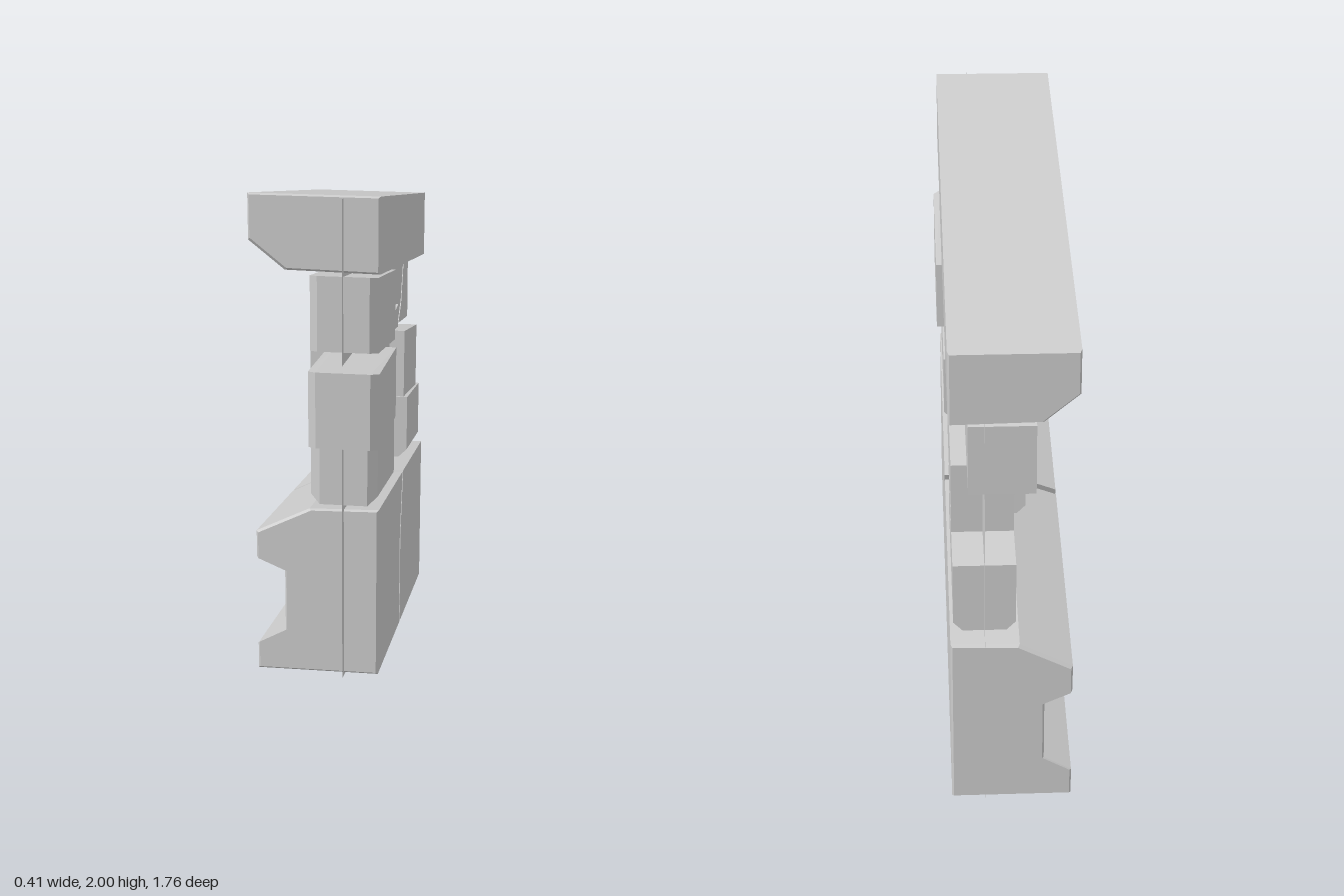
import * as THREE from 'three';

const SLOPE = 0.25; // the whole wall is sheared: it climbs towards the front
const material = new THREE.MeshStandardMaterial({ color: 0xcccccc, flatShading: true });

// Skin a stack of rings (arrays of [x, u, z]); outline is the 2D shape used for the end caps.
function loft(name, rings, outline) {
  const n = outline.length;
  const pos = rings.flat().flatMap(([x, u, z]) => [x, u + SLOPE * z, z]);
  const tris = [];
  for (let r = 0; r < rings.length - 1; r++) {
    for (let i = 0; i < n; i++) {
      const j = (i + 1) % n, a = r * n, b = a + n;
      tris.push([a + i, a + j, b + j], [a + i, b + j, b + i]);
    }
  }
  const ccw = outline.map(([a, b]) => new THREE.Vector2(a, b));
  const last = (rings.length - 1) * n;
  const forward = !THREE.ShapeUtils.isClockWise(ccw);
  for (const [a, b, c] of THREE.ShapeUtils.triangulateShape(ccw, [])) {
    // caps must run with the outline so that they match the skin
    const area = (ccw[b].x - ccw[a].x) * (ccw[c].y - ccw[a].y) - (ccw[b].y - ccw[a].y) * (ccw[c].x - ccw[a].x);
    const t = (area > 0) === forward ? [a, b, c] : [a, c, b];
    tris.push([t[0], t[2], t[1]], t.map((k) => k + last));
  }
  // turn everything outwards when the enclosed volume comes out negative
  const p = (k) => new THREE.Vector3().fromArray(pos, k * 3);
  const volume = tris.reduce((s, [a, b, c]) => s + p(a).dot(p(b).cross(p(c))), 0);
  const index = tris.flatMap(([a, b, c]) => (volume < 0 ? [a, c, b] : [a, b, c]));

  const indexed = new THREE.BufferGeometry();
  indexed.setAttribute('position', new THREE.Float32BufferAttribute(pos, 3));
  indexed.setIndex(index);
  const geometry = indexed.toNonIndexed();
  geometry.computeVertexNormals();
  const mesh = new THREE.Mesh(geometry, material);
  mesh.name = name;
  return mesh;
}

// Brick or brick fragment: a [z, u] outline across the wall's thickness.
// front / bottom chamfer only the edges of the exposed end and of the lowest course.
function brick(name, outline, x0, x1, { front = 0, bottom = 0 } = {}) {
  const c = Math.max(front, bottom, 0.004);
  const zMax = Math.max(...outline.map((q) => q[0]));
  const uMin = Math.min(...outline.map((q) => q[1]));
  const inset = ([z, u]) => [z > zMax - 0.01 ? z - front : z, u < uMin + 0.01 ? u + bottom : u];
  const full = (x) => outline.map(([z, u]) => [x, u, z]);
  const small = (x) => outline.map(inset).map(([z, u]) => [x, u, z]);
  return loft(name, [small(x0), full(x0 + c), full(x1 - c), small(x1)], outline);
}

const rect = (z0, z1, u0, u1) => [[z0, u1], [z1, u1], [z1, u0], [z0, u0]];

// Shrink an [x, u] profile slightly towards its middle for a chamfered end
function shrink(profile, c) {
  const us = profile.map((q) => q[1]);
  const mid = (Math.min(...us) + Math.max(...us)) / 2;
  return profile.map(([x, u]) => [x - Math.sign(x) * c, u - Math.sign(u - mid) * c]);
}
const ring = (profile, z) => profile.map(([x, u]) => [x, u, z]);

// Crack through the base: z as a function of height
const CRACK = [[0.23, -0.04], [0.312, -0.016], [0.577, -0.016], [0.81, -0.095]];
function crackZ(u) {
  for (let i = 0; i < CRACK.length - 1; i++) {
    const [u0, z0] = CRACK[i], [u1, z1] = CRACK[i + 1];
    if (u <= u1) return THREE.MathUtils.mapLinear(u, u0, u1, z0, z1);
  }
  return CRACK[CRACK.length - 1][1];
}

export function createModel() {
  const wall = new THREE.Group();
  wall.name = 'ruinedWall';
  const FRONT = 0.72, BACK = -0.88, C = 0.01;

  // Coping slab with a chamfered lower back edge
  const cap = [[0.19, 1.82], [0.19, 1.58], [-0.1, 1.585], [-0.21, 1.675], [-0.21, 1.82]];
  const capEnd = shrink(cap, 0.006);
  wall.add(loft('copingSlab', [
    ring(capEnd, FRONT), ring(cap, FRONT - C), ring(cap, BACK + C), ring(capEnd, BACK),
  ], cap));

  // Moulded base, split in two by the crack
  const base = [
    [0.19, 0.23], [0.19, 0.312], [0.19, 0.577], [0.19, 0.81], [-0.03, 0.805], [-0.2, 0.72],
    [-0.2, 0.63], [-0.11, 0.59], [-0.11, 0.37], [-0.2, 0.32], [-0.2, 0.23],
  ];
  const baseEnd = shrink(base, 0.006);
  for (const [name, end, side] of [['baseFront', FRONT, 1], ['baseBack', BACK, -1]]) {
    const broken = base.map(([x, u]) => [x, u, crackZ(u) + side * 0.012]);
    wall.add(loft(name, [ring(baseEnd, end), ring(base, end - side * C), broken], base));
  }

  // Thin mortar sheet behind the bricks
  const sheet = new THREE.BufferGeometry();
  sheet.setAttribute('position', new THREE.Float32BufferAttribute(
    [[0.22, 0.76], [0.22, BACK], [1.81, BACK], [1.81, 0.76]].flatMap(([u, z]) => [0.08, u + SLOPE * z, z]), 3));
  sheet.setIndex([0, 1, 2, 0, 2, 3]);
  sheet.computeVertexNormals();
  const sheetMaterial = material.clone();
  sheetMaterial.side = THREE.DoubleSide;
  const mortar = new THREE.Mesh(sheet, sheetMaterial);
  mortar.name = 'mortarSheet';
  wall.add(mortar);

  // Courses: each brick is [x0, x1, list of fragments, chamfers]
  const end = { front: 0.025 };
  const low = { bottom: 0.03 };
  const courses = {
    lowerBrick: [
      [-0.025, 0.185, [rect(0.73, 0.19, 0.825, 1.06)], { front: 0.025, bottom: 0.03 }],
      [-0.08, 0.13, [
        [[0.18, 1.06], [-0.135, 1.06], [-0.107, 0.96], [-0.01, 0.825], [0.18, 0.825]],
        [[-0.122, 0.94], [-0.038, 0.825], [-0.138, 0.825], [-0.138, 0.89]],
        [[-0.155, 1.06], [-0.3, 1.06], [-0.3, 0.825], [-0.162, 0.825], [-0.157, 0.9], [-0.13, 0.965]],
      ], low],
      [-0.02, 0.18, [rect(-0.34, -0.83, 0.825, 1.06)], low],
    ],
    middleBrick: [
      // loose brick, tilted and pulled out of the wall
      [-0.01, 0.205, [[[0.885, 1.28], [0.35, 1.317], [0.35, 1.08], [0.885, 1.037]]], end],
      [-0.08, 0.13, [
        [[0.313, 1.32], [-0.01, 1.32], [0.228, 1.09], [0.313, 1.09]],
        [[-0.03, 1.32], [-0.18, 1.325], [-0.155, 1.075], [0.208, 1.09]],
      ]],
      [-0.02, 0.18, [[[-0.207, 1.325], [-0.695, 1.31], [-0.69, 1.07], [-0.2, 1.08]]]],
    ],
    upperBrick: [
      [-0.025, 0.185, [rect(0.73, 0.19, 1.33, 1.57)], end],
      [-0.06, 0.145, [
        [[0.155, 1.57], [-0.095, 1.57], [-0.155, 1.395], [-0.13, 1.33], [0.155, 1.33]],
        [[-0.117, 1.57], [-0.335, 1.57], [-0.335, 1.435], [-0.175, 1.41]],
        [[-0.175, 1.388], [-0.335, 1.415], [-0.335, 1.33], [-0.152, 1.33]],
      ]],
      [-0.08, 0.13, [
        [[-0.36, 1.57], [-0.665, 1.57], [-0.58, 1.415], [-0.47, 1.33], [-0.36, 1.33]],
        [[-0.69, 1.57], [-0.855, 1.56], [-0.855, 1.33], [-0.5, 1.33], [-0.6, 1.4]],
      ]],
    ],
  };
  for (const [name, bricks] of Object.entries(courses)) {
    const course = new THREE.Group();
    course.name = name.replace('Brick', 'Course');
    bricks.forEach(([x0, x1, pieces, chamfers], i) => pieces.forEach((outline, k) => {
      const label = name + (i + 1) + (pieces.length > 1 ? 'Fragment' + (k + 1) : '');
      course.add(brick(label, outline, x0, x1, chamfers));
    }));
    wall.add(course);
  }
  return wall;
}
